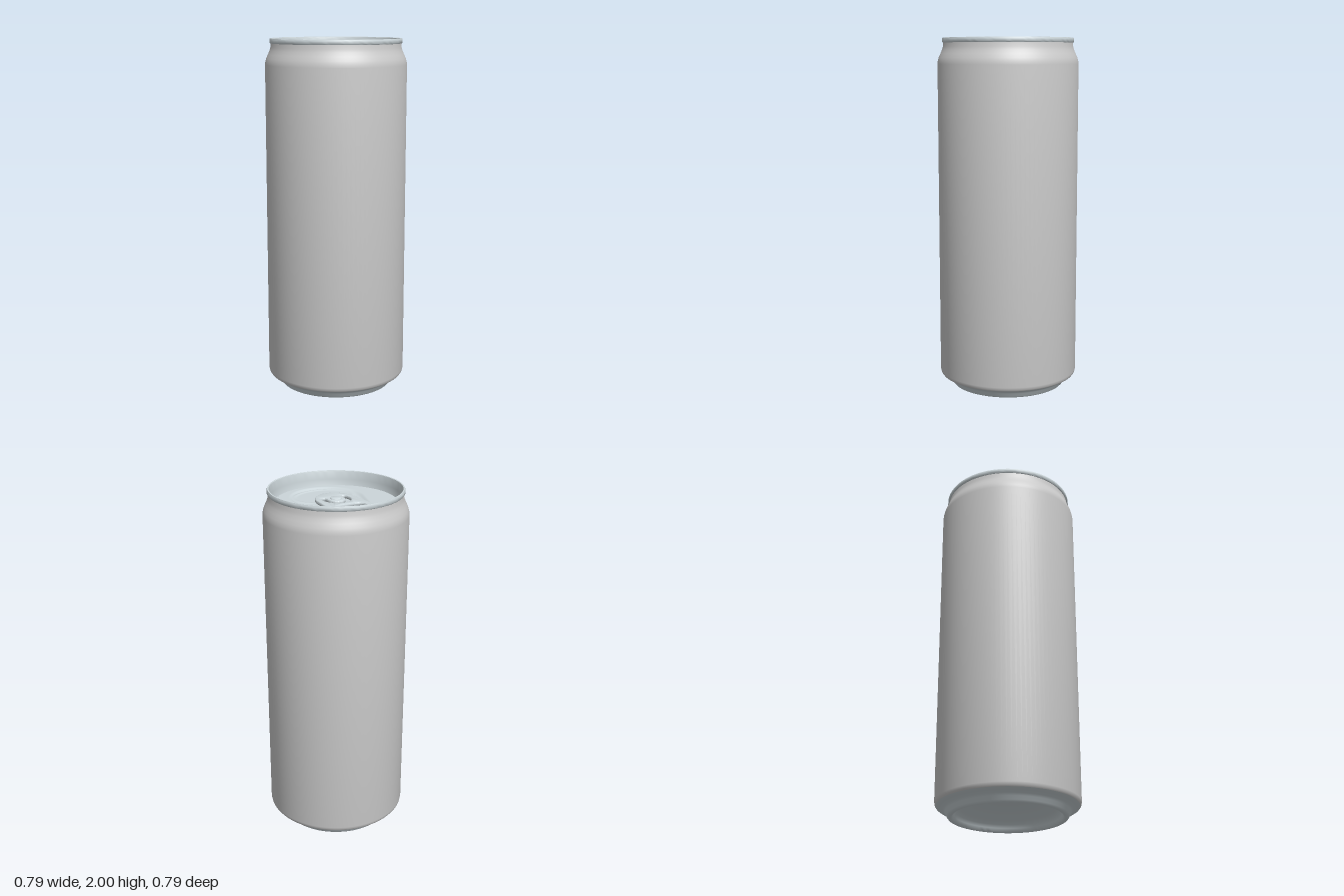
import * as THREE from 'three';
import { toCreasedNormals } from 'three/addons/utils/BufferGeometryUtils.js';

const PANEL_Y = 1.922;   // height of the lid panel
const RECESS = 0.009;    // depth of the teardrop recess

const paint = new THREE.MeshStandardMaterial({ color: 0xcccccc });
const metal = new THREE.MeshStandardMaterial({ color: 0xccd6da });

function add(group, name, geometry, material) {
  const mesh = new THREE.Mesh(geometry, material);
  mesh.name = name;
  group.add(mesh);
  return mesh;
}

// Turned part from [radius, height] pairs, outer surface on the right of the path
function turned(points, segments = 96, crease = 0.75) {
  const profile = points.map(([r, y]) => new THREE.Vector2(r, y));
  return toCreasedNormals(new THREE.LatheGeometry(profile, segments), crease);
}

// Signed distance to a teardrop: hull of a small circle (back) and a large one (front)
function teardrop(x, z) {
  const z1 = -0.2, r1 = 0.11, z2 = 0.1, r2 = 0.195, h = z2 - z1;
  const px = Math.abs(x), py = z2 - z;
  const b = (r2 - r1) / h, a = Math.sqrt(1 - b * b);
  const k = -b * px + a * py;
  if (k < 0) return Math.hypot(px, py) - r2;
  if (k > a * h) return Math.hypot(px, py - h) - r1;
  return px * a + py * b - r2;
}

// Height of the lid panel: recess plus the raised bead round the mouth
function panelHeight(x, z) {
  const recess = 1 - THREE.MathUtils.smoothstep(teardrop(x, z), -0.014, 0.012);
  const q = Math.hypot(x / 0.17, (z - 0.145) / 0.125);
  const d = (q - 1) * 0.145;
  const open = THREE.MathUtils.smoothstep(z, 0.02, 0.08);
  const bead = Math.exp(-((d / 0.009) ** 2)) * open;
  return PANEL_Y - RECESS * recess + 0.004 * bead;
}

// Flat outline raised to a rounded plate lying in the xz plane
function plate(shape, thickness, bevel) {
  const geometry = new THREE.ExtrudeGeometry(shape, {
    depth: thickness - 2 * bevel, curveSegments: 20,
    bevelEnabled: true, bevelThickness: bevel, bevelSize: bevel,
    bevelOffset: -bevel, bevelSegments: 4,
  });
  geometry.rotateX(-Math.PI / 2).translate(0, bevel, 0);
  return toCreasedNormals(geometry, 0.7);
}

// Pull tab outline with finger hole and the C-shaped slot round the rivet tongue
function tabShape() {
  const tab = new THREE.Shape();
  tab.moveTo(0, -0.12);
  tab.bezierCurveTo(0.07, -0.12, 0.108, -0.06, 0.115, 0);
  tab.lineTo(0.124, 0.13);
  tab.bezierCurveTo(0.13, 0.23, 0.075, 0.28, 0, 0.28);
  tab.bezierCurveTo(-0.075, 0.28, -0.13, 0.23, -0.124, 0.13);
  tab.lineTo(-0.115, 0);
  tab.bezierCurveTo(-0.108, -0.06, -0.07, -0.12, 0, -0.12);

  const finger = new THREE.Path();
  finger.moveTo(0, 0.122);
  finger.lineTo(-0.045, 0.122);
  finger.bezierCurveTo(-0.08, 0.122, -0.092, 0.15, -0.087, 0.175);
  finger.bezierCurveTo(-0.08, 0.22, -0.045, 0.245, 0, 0.245);
  finger.bezierCurveTo(0.045, 0.245, 0.08, 0.22, 0.087, 0.175);
  finger.bezierCurveTo(0.092, 0.15, 0.08, 0.122, 0.045, 0.122);
  finger.lineTo(0, 0.122);

  const slot = new THREE.Path();
  slot.moveTo(0.077, -0.02);
  slot.bezierCurveTo(0.085, 0.045, 0.05, 0.085, 0, 0.085);
  slot.bezierCurveTo(-0.05, 0.085, -0.085, 0.045, -0.077, -0.02);
  slot.bezierCurveTo(-0.072, -0.042, -0.052, -0.042, -0.048, -0.02);
  slot.bezierCurveTo(-0.056, 0.03, -0.03, 0.056, 0, 0.056);
  slot.bezierCurveTo(0.03, 0.056, 0.056, 0.03, 0.048, -0.02);
  slot.bezierCurveTo(0.052, -0.042, 0.072, -0.042, 0.077, -0.02);

  tab.holes.push(finger, slot);
  return tab;
}

export function createModel() {
  const can = new THREE.Group();
  can.name = 'drinkCan';

  // Painted side wall and neck
  add(can, 'body', turned([
    [0.388, 0.062], [0.394, 0.07], [0.397, 0.085], [0.397, 1.855], [0.395, 1.872],
    [0.39, 1.89], [0.38, 1.912], [0.371, 1.933], [0.366, 1.95], [0.363, 1.976],
  ]), paint);

  // Domed base, foot ring and lower chamfer
  const base = [];
  for (let i = 0; i <= 12; i++) {
    const r = 0.28 * i / 12;
    base.push([r, 0.04 + 0.085 * (1 - (r / 0.28) ** 2)]);
  }
  base.push([0.29, 0.022], [0.296, 0.008], [0.304, 0.001], [0.312, 0], [0.322, 0.003],
    [0.33, 0.012], [0.338, 0.03], [0.349, 0.042], [0.37, 0.051], [0.388, 0.062]);
  add(can, 'base', turned(base), metal);

  // Rolled rim, inner wall and countersink groove
  add(can, 'rim', turned([
    [0.36, 1.973], [0.367, 1.972], [0.371, 1.977], [0.371, 1.993], [0.368, 1.999],
    [0.364, 2], [0.36, 1.998], [0.358, 1.992], [0.355, 1.95], [0.351, 1.912],
    [0.348, 1.904], [0.344, 1.902], [0.34, 1.905], [0.338, 1.914], [0.335, 1.92], [0.33, PANEL_Y],
  ]), metal);

  // Lid panel pressed with the recess and mouth bead
  const panel = new THREE.RingGeometry(0.001, 0.331, 128, 80).rotateX(-Math.PI / 2);
  const p = panel.attributes.position;
  for (let i = 0; i < p.count; i++) p.setY(i, panelHeight(p.getX(i), p.getZ(i)));
  panel.computeVertexNormals();
  add(can, 'lidPanel', panel, metal);

  // Pull tab, its tongue rivet and the boss beneath
  const floor = PANEL_Y - RECESS;
  add(can, 'pullTab', plate(tabShape(), 0.02, 0.007), metal).position.y = floor + 0.006;
  add(can, 'rivet', turned([
    [0.036, floor - 0.002], [0.033, floor + 0.026], [0.031, floor + 0.03],
    [0.026, floor + 0.032], [0, floor + 0.032],
  ], 40), metal);

  return can;
}
